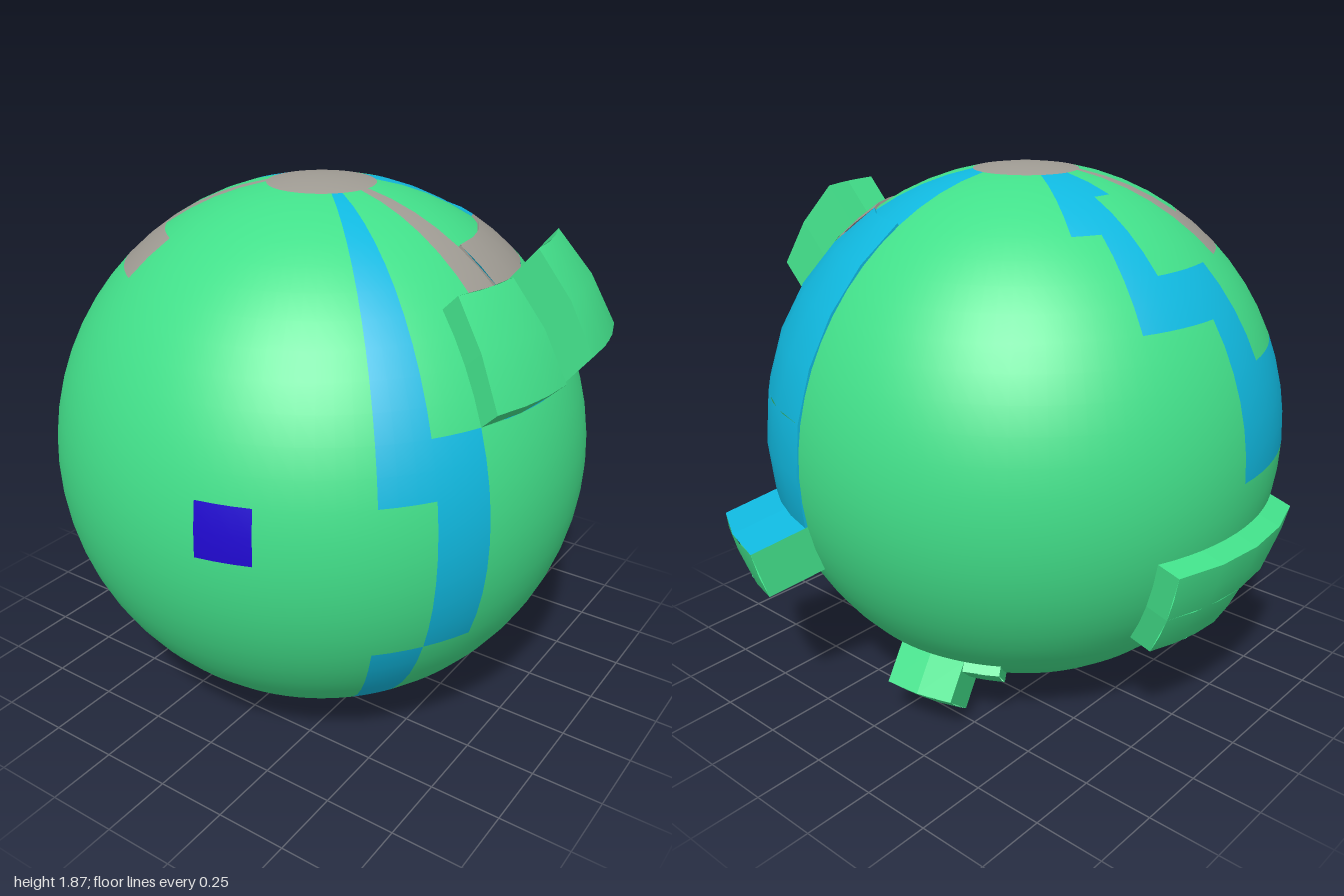
import * as THREE from 'three';
import { mergeGeometries } from 'three/addons/utils/BufferGeometryUtils.js';

const R = 0.935, STEP = Math.PI / 16, COLS = 32, ROWS = 16;
const GREEN = 0x42e08a, BLUE = 0x10b9e0, GREY = 0xa09c94, VIOLET = 0x2008d0;

const material = (color) => new THREE.MeshStandardMaterial({ color, side: THREE.DoubleSide });
const wrap = (c) => (c + COLS) % COLS;

// Point on the globe at a grid corner: row counts down from the top,
// column counts from the front towards the model's left.
function corner(row, col) {
  return new THREE.Vector3().setFromSphericalCoords(R, row * STEP, col * STEP);
}

// Curved piece of the globe covering rows r0..r1 and columns c0..c1
function patch(r0, r1, c0, c1) {
  return new THREE.SphereGeometry(R, c1 - c0, r1 - r0,
    c0 * STEP + Math.PI / 2, (c1 - c0) * STEP, r0 * STEP, (r1 - r0) * STEP);
}

// Flat-shaded strip joining an edge on the globe to its lifted copy
function wall(points, lift) {
  const pos = [];
  for (let i = 0; i + 1 < points.length; i++) {
    const a = points[i], b = points[i + 1], c = lift(b.clone()), d = lift(a.clone());
    for (const p of [a, b, c, a, c, d]) pos.push(p.x, p.y, p.z);
  }
  const g = new THREE.BufferGeometry();
  g.setAttribute('position', new THREE.Float32BufferAttribute(pos, 3));
  g.computeVertexNormals();
  return g;
}

const shift = (x, y, z) => { const d = new THREE.Vector3(x, y, z); return (v) => v.add(d); };
const swell = (s) => (v) => v.multiplyScalar(s);

// Coloured cells: [colour, first row, end row, first column, end column]
const paint = [
  [GREY, 0, 1, 0, 32],
  [VIOLET, 7, 8, 1, 2],
  // band on the front left
  [BLUE, 1, 7, 4, 5], [BLUE, 6, 10, 5, 6], [BLUE, 10, 14, 4, 5],
  // ring and spur underneath
  [BLUE, 14, 15, 0, 32], [BLUE, 13, 14, 16, 17],
  // wide band on the back
  [BLUE, 1, 9, 13, 15], [BLUE, 1, 8, 12, 13],
  // stepped band on the right
  [BLUE, 1, 2, -11, -8], [BLUE, 2, 3, -11, -9], [BLUE, 3, 4, -10, -9],
  [BLUE, 4, 5, -10, -7], [BLUE, 5, 6, -8, -7], [BLUE, 6, 8, -8, -5],
  // grey spokes
  [GREY, 1, 4, 7, 8], [GREY, 3, 4, 8, 12],
  [GREY, 1, 4, -6, -5], [GREY, 3, 4, -5, -3],
];

// Raised pieces: name, colour, rows, columns, lift, optional top wall colour
const raised = [
  ['lowSideBlock', GREEN, 4, 6, 6, 8, shift(0.055, 0.055, 0.01)],
  ['tallSideBlock', GREEN, 4, 6, 8, 10, shift(0.12, 0.15, -0.015)],
  ['sidePanel', GREEN, 4, 6, 10, 12, swell(1.01)],
  ['greyPanel', GREY, 3, 4, 8, 12, swell(1.01)],
  ['backPanelUpper', BLUE, 3, 7, 12, 15, swell(1.01)],
  ['backPanelLower', BLUE, 7, 9, 13, 15, swell(1.01)],
  ['backBlock', GREEN, 9, 10, 13, 15, shift(0.077, -0.06, -0.18), BLUE],
  ['rightLedgeUpper', GREEN, 9, 10, -10, -6, shift(-0.08, -0.022, 0)],
  ['rightLedgeLower', GREEN, 10, 11, -10, -8, shift(-0.08, -0.022, 0)],
  ['undersideBlock', GREEN, 12, 13, 16, 18, shift(-0.02, -0.11, -0.09)],
  ['undersideStep', GREEN, 12, 13, 18, 19, shift(-0.01, -0.025, -0.02)],
];

function raisedPiece([name, color, r0, r1, c0, c1, lift, topColor = color]) {
  const group = new THREE.Group();
  group.name = name;
  const face = patch(r0, r1, c0, c1), p = face.attributes.position, v = new THREE.Vector3();
  for (let i = 0; i < p.count; i++) {
    lift(v.fromBufferAttribute(p, i));
    p.setXYZ(i, v.x, v.y, v.z);
  }
  const cols = Array.from({ length: c1 - c0 + 1 }, (_, i) => c0 + i);
  const rows = Array.from({ length: r1 - r0 + 1 }, (_, i) => r0 + i);
  const add = (part, g, col) => {
    const m = new THREE.Mesh(g, material(col));
    m.name = part;
    group.add(m);
  };
  add('face', face, color);
  add('topWall', wall(cols.map((c) => corner(r0, c)).reverse(), lift), topColor);
  add('bottomWall', wall(cols.map((c) => corner(r1, c)), lift), color);
  add('startWall', wall(rows.map((r) => corner(r, c0)), lift), color);
  add('endWall', wall(rows.map((r) => corner(r, c1)).reverse(), lift), color);
  return group;
}

export function createModel() {
  const model = new THREE.Group();
  model.name = 'globe';

  // Colour of every grid cell; cells beneath raised pieces stay empty
  const grid = Array.from({ length: ROWS }, () => new Array(COLS).fill(GREEN));
  const fill = (color, r0, r1, c0, c1) => {
    for (let r = r0; r < r1; r++) for (let c = c0; c < c1; c++) grid[r][wrap(c)] = color;
  };
  paint.forEach((p) => fill(...p));
  raised.forEach(([, , r0, r1, c0, c1]) => fill(null, r0, r1, c0, c1));

  // Globe surface, one mesh per colour
  const names = { [GREEN]: 'greenShell', [BLUE]: 'blueBands', [GREY]: 'greyMarks', [VIOLET]: 'frontWindow' };
  for (const color of [GREEN, BLUE, GREY, VIOLET]) {
    const cells = [];
    for (let r = 0; r < ROWS; r++) {
      for (let c = 0; c < COLS; c++) if (grid[r][c] === color) cells.push(patch(r, r + 1, c, c + 1));
    }
    const mesh = new THREE.Mesh(mergeGeometries(cells), material(color));
    mesh.name = names[color];
    model.add(mesh);
  }

  // Raised blocks and panels
  raised.forEach((piece) => model.add(raisedPiece(piece)));

  model.children.forEach((part) => part.position.set(0, R, 0.06));
  return model;
}
